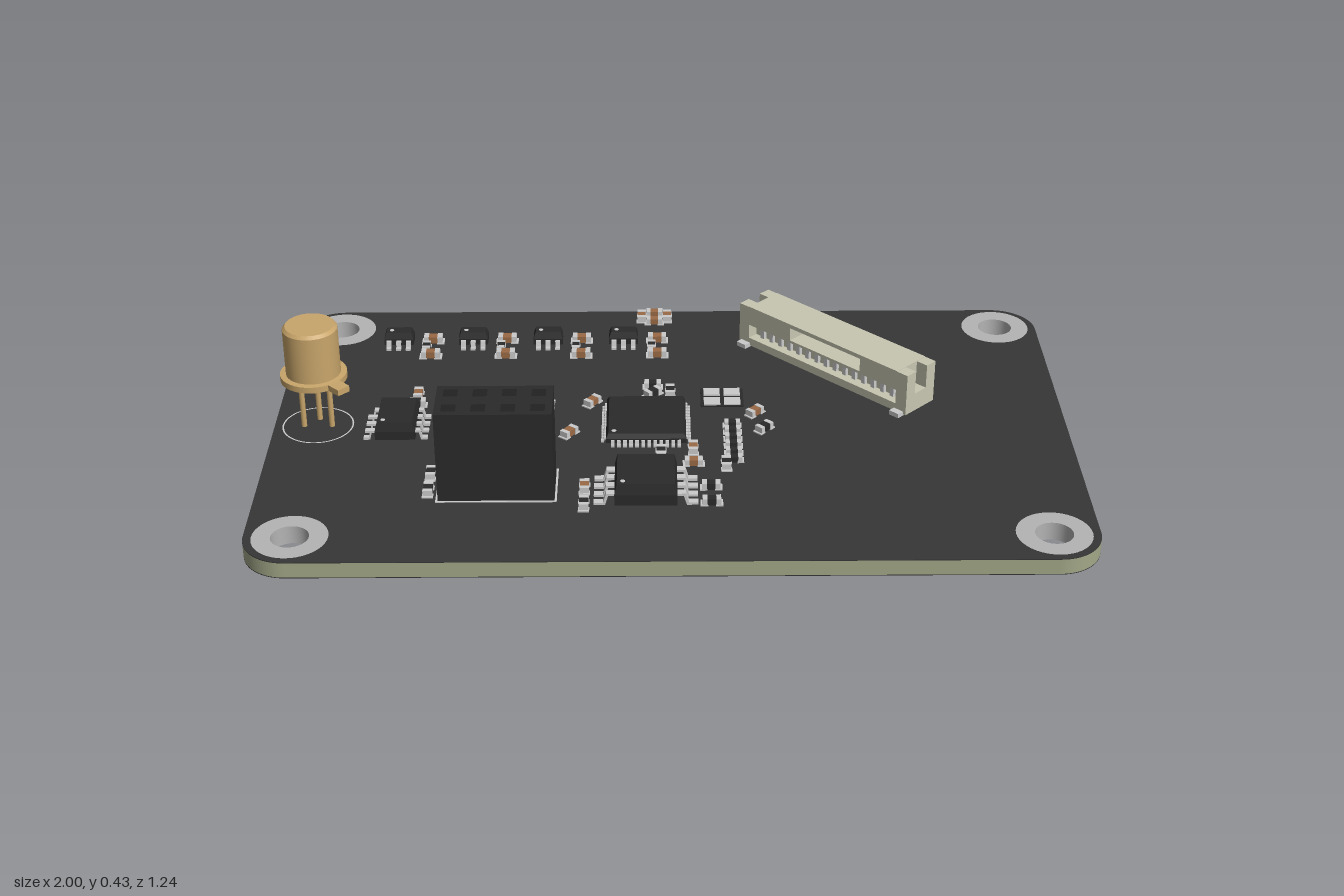
import * as THREE from 'three';

const TOP = 0.14, BOTTOM = 0.097;
const C = {
  mask: 0x363636, edge: 0xa3a888, metal: 0xbcbcbc, ring: 0xb4b4b4, gold: 0xc9a66b,
  chip: 0x2a2a2a, cream: 0xc8c7b2, brown: 0x9a6a45, silk: 0xdddddd, dark: 0x151515,
};
const mats = {};
const mat = (color) => (mats[color] ??= new THREE.MeshStandardMaterial({ color, side: THREE.DoubleSide }));

function add(parent, name, geo, color, x = 0, y = 0, z = 0) {
  const m = new THREE.Mesh(geo, mat(color));
  m.name = name;
  m.position.set(x, y, z);
  parent.add(m);
  return m;
}
// box given by its bottom height
const box = (p, name, w, h, d, color, x, y, z) =>
  add(p, name, new THREE.BoxGeometry(w, h, d), color, x, y + h / 2, z);

function group(parent, name, x = 0, y = 0, z = 0, ry = 0) {
  const g = new THREE.Group();
  g.name = name;
  g.position.set(x, y, z);
  g.rotation.y = ry;
  parent.add(g);
  return g;
}
function rect(Type, w, h, x = 0, y = 0) {
  const s = new Type();
  s.moveTo(x - w / 2, y - h / 2);
  s.lineTo(x + w / 2, y - h / 2);
  s.lineTo(x + w / 2, y + h / 2);
  s.lineTo(x - w / 2, y + h / 2);
  s.closePath();
  return s;
}
// flat shape raised into a plate standing on y = 0
const plate = (shape, depth) =>
  new THREE.ExtrudeGeometry(shape, { depth, bevelEnabled: false, curveSegments: 16 }).rotateX(-Math.PI / 2);

function boardShape() {
  const W = 1, H = 0.62, r = 0.11, s = new THREE.Shape();
  s.absarc(W - r, H - r, r, 0, Math.PI / 2);
  s.absarc(r - W, H - r, r, Math.PI / 2, Math.PI);
  s.absarc(r - W, r - H, r, Math.PI, Math.PI * 1.5);
  s.absarc(W - r, r - H, r, Math.PI * 1.5, Math.PI * 2);
  for (const x of [-0.89, 0.89]) for (const z of [-0.515, 0.515])
    s.holes.push(new THREE.Path().absarc(x, z, 0.046, 0, Math.PI * 2));
  return s;
}

// moulded body with a tapered upper half
function chipBody(w, h, d) {
  let g = new THREE.BoxGeometry(w, h, d, 1, 2, 1);
  const p = g.attributes.position;
  for (let i = 0; i < p.count; i++) if (p.getY(i) > 0.001) {
    p.setX(i, p.getX(i) - Math.sign(p.getX(i)) * 0.006);
    p.setZ(i, p.getZ(i) - Math.sign(p.getZ(i)) * 0.006);
  }
  g = g.toNonIndexed();
  g.computeVertexNormals();
  return g;
}

// gull-wing lead running out along +x
function leadGeometry(len, h, w) {
  const s = new THREE.Shape(), t = 0.006;
  [[-0.005, h], [len * 0.4, h], [len * 0.55, t], [len, t], [len, 0], [len * 0.45, 0], [len * 0.3, h - t], [-0.005, h - t]]
    .forEach(([x, y], i) => (i ? s.lineTo(x, y) : s.moveTo(x, y)));
  return new THREE.ExtrudeGeometry(s, { depth: w, bevelEnabled: false }).translate(0, 0, -w / 2);
}

// rows: [angle, count, pitch]; angle 0 is the +x side
function chip(parent, name, x, z, w, d, h, len, leadW, rows) {
  const g = group(parent, name, x, TOP, z);
  add(g, 'chipBody', chipBody(w, h - 0.006, d), C.chip, 0, 0.006 + (h - 0.006) / 2, 0);
  add(g, 'pinOneDot', new THREE.CylinderGeometry(0.006, 0.006, 0.002, 12), C.metal, -w / 2 + 0.02, h, d / 2 - 0.02);
  const geo = leadGeometry(len, h * 0.5, leadW);
  for (const [angle, n, pitch] of rows) {
    const row = group(g, 'leadRow', 0, 0, 0, angle);
    const reach = Math.abs(Math.sin(angle)) > 0.5 ? d / 2 : w / 2;
    for (let i = 0; i < n; i++) add(row, 'lead', geo, C.metal, reach, 0, (i - (n - 1) / 2) * pitch);
  }
}

function passive(parent, x, z, angle = 0, color = C.brown, s = 1) {
  const g = group(parent, 'smallPassive', x, TOP, z, angle);
  box(g, 'passiveBody', 0.026 * s, 0.018 * s, 0.024 * s, color, 0, 0.001, 0);
  for (const k of [-1, 1]) {
    box(g, 'endCap', 0.013 * s, 0.02 * s, 0.026 * s, C.metal, k * 0.018 * s, 0, 0);
    box(g, 'solderPad', 0.02 * s, 0.003, 0.03 * s, C.metal, k * 0.02 * s, 0, 0);
  }
}

function metalCan(parent) {
  const g = group(parent, 'metalCanSensor', -0.89, 0, 0);
  const profile = [[0, 0.28], [0.083, 0.28], [0.083, 0.296], [0.068, 0.297], [0.068, 0.42], [0.061, 0.428], [0, 0.428]];
  // each profile segment is turned on its own to keep its edges crisp
  for (let i = 0; i < profile.length - 1; i++)
    add(g, 'can', new THREE.LatheGeometry([profile[i], profile[i + 1]].map((p) => new THREE.Vector2(...p)), 40), C.gold);
  const tab = group(g, 'canTab', 0, 0.28, 0, -Math.PI / 4);
  box(tab, 'tab', 0.05, 0.016, 0.035, C.gold, 0.095, 0, 0);
  for (const [x, z] of [[-0.035, 0], [0, -0.035], [0.035, 0]])
    add(g, 'canLead', new THREE.CylinderGeometry(0.007, 0.007, 0.28, 12), C.gold, x, 0.14, z);
  const outline = add(g, 'canOutline', new THREE.RingGeometry(0.086, 0.09, 40), C.silk, 0, TOP + 0.002, 0);
  outline.rotation.x = -Math.PI / 2;
}

function socketHeader(parent) {
  const g = group(parent, 'socketHeader', -0.42, TOP, 0.292);
  const s = rect(THREE.Shape, 0.278, 0.138);
  const sites = [];
  for (let i = 0; i < 4; i++) for (const z of [-0.036, 0.036]) sites.push([(i - 1.5) * 0.07, z]);
  for (const [x, z] of sites) s.holes.push(rect(THREE.Path, 0.034, 0.034, x, -z));
  add(g, 'socketBody', plate(s, 0.238), C.chip);
  for (const [x, z] of sites) {
    box(g, 'socketFloor', 0.034, 0.01, 0.034, C.dark, x, 0.17, z);
    box(g, 'headerPin', 0.014, 0.1, 0.014, C.gold, x, -0.085, z);
    add(g, 'solderRing', new THREE.CylinderGeometry(0.022, 0.022, 0.003, 16), C.gold, x, BOTTOM - TOP - 0.001, z);
  }
  const o = rect(THREE.Shape, 0.29, 0.15);
  o.holes.push(rect(THREE.Path, 0.28, 0.14));
  add(g, 'headerOutline', plate(o, 0.002), C.silk);
}

function ribbonConnector(parent) {
  const g = group(parent, 'ribbonConnector', 0.433, TOP, -0.275, -Math.PI / 4);
  const L = 0.51, D = 0.112;
  box(g, 'base', L, 0.022, D, C.cream, 0, 0.004, 0);
  box(g, 'recessedWall', L, 0.04, D - 0.03, C.cream, 0, 0.026, -0.015);
  // upper housing with a window right through it
  const s = rect(THREE.Shape, L, 0.054, 0, 0.092);
  s.holes.push(rect(THREE.Path, 0.24, 0.036, 0.012, 0.09));
  add(g, 'upperHousing', new THREE.ExtrudeGeometry(s, { depth: D, bevelEnabled: false }), C.cream, 0, 0, -D / 2);
  for (const k of [-1, 1]) {
    box(g, 'endBlock', 0.034, 0.05, D, C.cream, k * 0.271, 0.004, 0);
    for (const z of [-1, 1]) box(g, 'endPost', 0.034, 0.064, 0.034, C.cream, k * 0.271, 0.054, z * (D / 2 - 0.017));
    box(g, 'anchorTab', 0.03, 0.012, 0.03, C.metal, k * 0.265, 0, D / 2 + 0.004);
  }
  for (let i = 0; i < 15; i++) {
    const x = (i - 7) * 0.032;
    box(g, 'contact', 0.012, 0.034, 0.012, C.metal, x, 0.027, 0.03);
    box(g, 'contactFoot', 0.012, 0.014, 0.034, C.metal, x, 0, -D / 2 - 0.01);
  }
}

export function createModel() {
  const root = new THREE.Group();
  root.name = 'circuitBoard';
  const H = Math.PI / 2;

  // board core between two dark mask layers
  const shape = boardShape();
  add(root, 'boardCore', plate(shape, TOP - BOTTOM - 0.004), C.edge, 0, BOTTOM + 0.002, 0);
  add(root, 'topMask', plate(shape, 0.002), C.mask, 0, TOP - 0.002, 0);
  add(root, 'bottomMask', plate(shape, 0.002), C.mask, 0, BOTTOM, 0);

  // plated mounting holes
  const rim = [[0.045, BOTTOM - 0.002], [0.09, BOTTOM - 0.002], [0.09, TOP + 0.002], [0.045, TOP + 0.002]];
  for (const x of [-0.89, 0.89]) for (const z of [-0.515, 0.515]) {
    const g = group(root, 'mountingHole', x, 0, z);
    for (const i of [0, 2, 3])
      add(g, 'plating', new THREE.LatheGeometry([rim[i], rim[(i + 1) % 4]].map((p) => new THREE.Vector2(...p)), 40), C.ring);
  }

  metalCan(root);
  socketHeader(root);
  ribbonConnector(root);

  // integrated circuits
  chip(root, 'mainChip', -0.062, 0.003, 0.2, 0.2, 0.03, 0.012, 0.009, [0, 1, 2, 3].map((k) => [k * H, 12, 0.015]));
  chip(root, 'amplifierChip', -0.688, 0.013, 0.1, 0.138, 0.052, 0.03, 0.014, [[0, 4, 0.034], [2 * H, 4, 0.034]]);
  chip(root, 'memoryChip', -0.062, 0.318, 0.15, 0.15, 0.062, 0.05, 0.018, [[0, 4, 0.036], [2 * H, 4, 0.036]]);
  chip(root, 'converterChip', -0.445, 0.024, 0.085, 0.085, 0.036, 0.035, 0.01, [[0, 5, 0.017], [2 * H, 5, 0.017]]);

  // four regulators, each with its passives
  for (const x of [-0.727, -0.527, -0.326, -0.123]) {
    chip(root, 'regulator', x, -0.44, 0.078, 0.044, 0.04, 0.022, 0.013, [[H, 2, 0.052], [-H, 3, 0.026]]);
    for (const z of [-0.447, -0.362]) passive(root, x + 0.09, z);
    passive(root, x + 0.075, -0.405, H, C.chip, 0.8);
  }

  // four-pad crystal
  const xtal = group(root, 'crystal', 0.133, TOP, -0.13);
  box(xtal, 'crystalBase', 0.11, 0.004, 0.09, C.chip, 0, 0, 0);
  for (const x of [-0.026, 0.026]) for (const z of [-0.024, 0.024])
    box(xtal, 'crystalPad', 0.042, 0.008, 0.036, C.metal, x, 0, z);

  // scattered passives: x, z, angle, brown or dark
  const parts = [
    [-0.075, -0.575, H, 1], [-0.04, -0.595, 0, 1], [-0.04, -0.55, 0, 1], [-0.005, -0.575, H, 1],
    [-0.65, -0.145, H, 1], [-0.65, -0.1, 0, 0], [-0.55, -0.06, H, 1], [-0.55, 0.02, H, 0], [-0.55, 0.09, H, 0],
    [-0.48, -0.06, H, 1], [-0.43, -0.06, H, 1], [-0.445, 0.1, 0, 1], [-0.37, -0.13, H, 1], [-0.375, -0.065, 0, 0],
    [-0.255, 0.05, 0.9, 1], [-0.2, -0.105, 0.9, 1], [-0.045, -0.19, 0, 0], [0, -0.155, H, 0], [-0.045, -0.15, 0.7, 0],
    [0.215, -0.05, 0.8, 1], [0.235, 0.03, 0.8, 0], [-0.025, 0.15, H, 0], [-0.025, 0.195, 0, 0], [0.055, 0.13, H, 1],
    [0.055, 0.195, 0, 1], [0.135, 0.205, H, 0], [-0.585, 0.245, H, 0], [-0.585, 0.32, H, 0],
    [-0.21, 0.31, H, 1], [-0.21, 0.385, H, 0], [0.095, 0.305, 0, 0], [0.095, 0.375, 0, 0],
  ];
  for (const [x, z, a, b] of parts) passive(root, x, z, a, b ? C.brown : C.chip, 0.9);
  for (let i = 0; i < 6; i++) {
    passive(root, -0.32, -0.11 + i * 0.034, 0, i % 2 ? C.chip : C.brown, 0.8);
    passive(root, 0.155, 0.01 + i * 0.034, 0, C.chip, 0.8);
  }
  return root;
}
